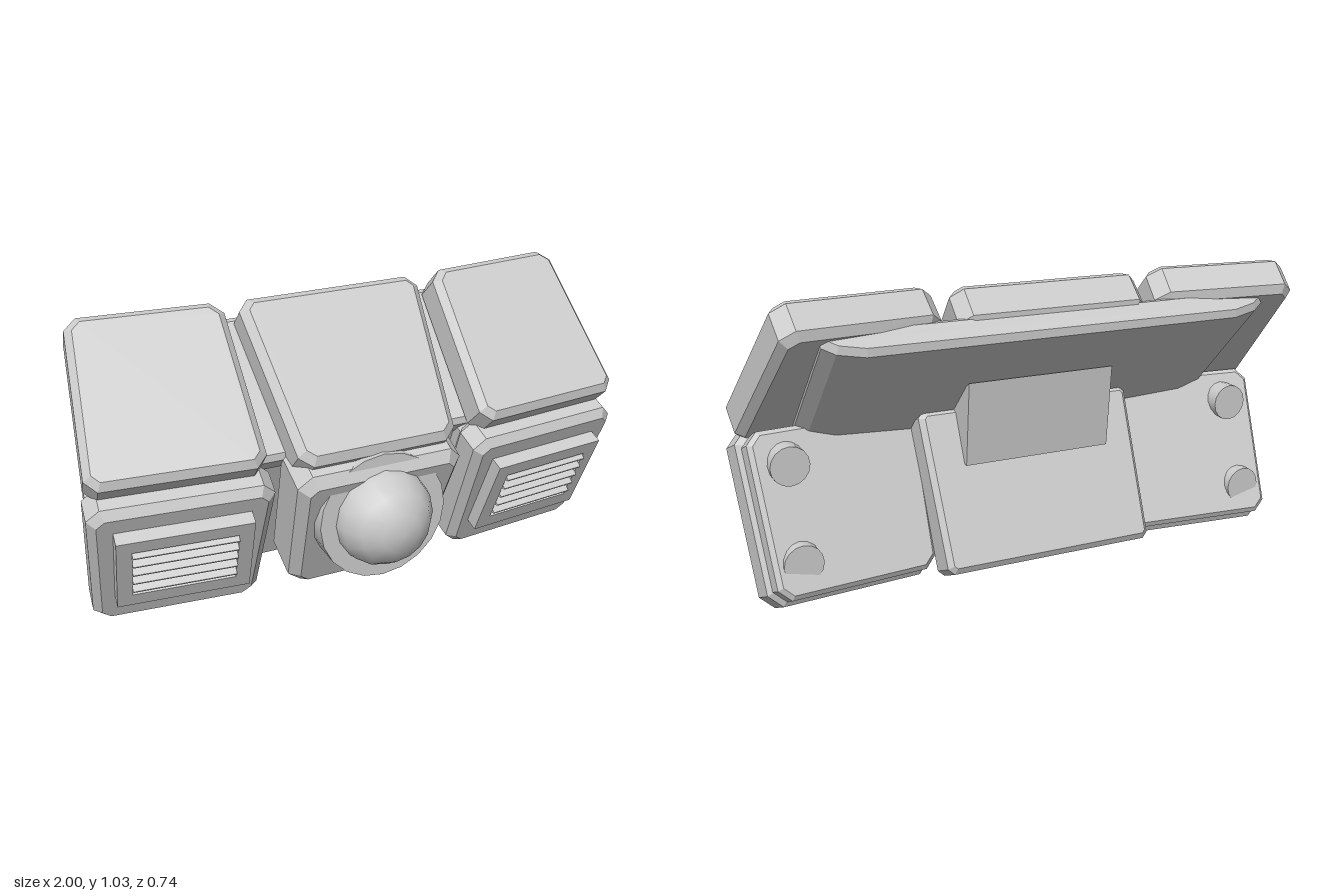
import * as THREE from 'three';

const grey = new THREE.MeshStandardMaterial({ color: 0xcccccc });
grey.name = 'light grey';

const LOWER_TILT = 0.405, UPPER_TILT = -Math.PI / 4, YAW = 0.1;

function add(parent, name, geometry, x = 0, y = 0, z = 0) {
  const mesh = new THREE.Mesh(geometry, grey);
  mesh.name = name;
  mesh.position.set(x, y, z);
  parent.add(mesh);
}

const polygon = (points) => new THREE.Shape(points.map(([x, y]) => new THREE.Vector2(x, y)));

// Polygon with every corner cut off at distance c
function cutShape(points, c) {
  const v = points.map(([x, y]) => new THREE.Vector2(x, y));
  const out = [];
  v.forEach((p, i) => {
    for (const q of [v.at(i - 1), v[(i + 1) % v.length]]) {
      out.push(p.clone().add(q.clone().sub(p).setLength(c)));
    }
  });
  return new THREE.Shape(out);
}

// Bevelled plate lying between depths z0 and z1
function plate(shape, z0, z1, b) {
  return new THREE.ExtrudeGeometry(shape, {
    depth: z1 - z0 - 2 * b, bevelThickness: b, bevelSize: b, bevelOffset: -b, bevelSegments: 1,
  }).translate(0, 0, z0 + b);
}

// Trapezoid outline; s = -1 mirrors it
function trapezoid(s, b0, b1, t0, t1, y0, y1, c) {
  return cutShape([[s * b0, y0], [s * b1, y0], [s * t1, y1], [s * t0, y1]], c);
}

// Tilted frame: local y runs up the panel, local z is its normal
function frame(parent, name, tilt, x = 0, y = 0, z = 0, yaw = 0) {
  const g = new THREE.Group();
  g.name = name;
  g.rotation.set(tilt, yaw, 0, 'YXZ');
  g.position.set(x, y, z);
  parent.add(g);
  return g;
}

function addGrille(parent, s) {
  const grille = new THREE.Group();
  grille.name = 'grille';
  grille.position.set(-0.01 * s, 0.027, 0);
  parent.add(grille);
  // Raised surround with a rectangular opening
  const outer = polygon([[-0.23, -0.172], [0.23, -0.172], [0.23, 0.172], [-0.23, 0.172]]);
  outer.holes.push(polygon([[-0.178, -0.115], [-0.178, 0.118], [0.178, 0.118], [0.178, -0.115]]));
  add(grille, 'grilleSurround', new THREE.ExtrudeGeometry(outer, { depth: 0.07, bevelEnabled: false }), 0, 0, 0.05);
  add(grille, 'grilleBack', new THREE.BoxGeometry(0.37, 0.24, 0.03), 0, 0, 0.07);
  // Louvre slats, sloping down to the front
  const wedge = polygon([[0, -0.022], [0.05, 0.007], [0.05, 0.012], [0, 0.024]]);
  const slat = new THREE.ExtrudeGeometry(wedge, { depth: 0.356, bevelEnabled: false })
    .translate(0, 0, -0.178).rotateY(-Math.PI / 2);
  for (let i = 0; i < 5; i++) add(grille, 'slat', slat, 0, -0.092 + i * 0.046, 0.083);
}

function addSide(model, s) {
  const side = s > 0 ? 'left' : 'right';
  // Lower module
  const low = frame(model, side + 'LowerModule', LOWER_TILT, 0.685 * s, 0.293, 0, YAW * s);
  add(low, 'lowerPanel', plate(trapezoid(s, -0.289, 0.291, -0.326, 0.302, -0.295, 0.29, 0.045), -0.075, 0.07, 0.028));
  add(low, 'lowerRearRim', plate(trapezoid(s, -0.28, 0.278, -0.31, 0.288, -0.28, 0.268, 0.04), -0.132, -0.05, 0.015));
  addGrille(low, s);

  // Round pegs, half sunk into the rear of the lower module
  for (const [y, z] of [[0.483, -0.115], [0.187, -0.22]]) {
    add(model, 'rearPeg', new THREE.CylinderGeometry(0.066, 0.066, 0.08, 16).rotateX(Math.PI / 2), 0.85 * s, y, z + 0.04);
  }

  // Upper panel
  const up = frame(model, side + 'UpperModule', UPPER_TILT, 0.685 * s, 0.793, -0.09, YAW * s);
  add(up, 'upperPanel', plate(trapezoid(s, -0.312, 0.288, -0.27, 0.262, -0.305, 0.3, 0.042), -0.075, 0.073, 0.025));
}

export function createModel() {
  const model = new THREE.Group();
  model.name = 'wallLamp';

  // Centre of the lower half
  const low = frame(model, 'centreLower', LOWER_TILT);
  add(low, 'centreLowerPanel', plate(trapezoid(1, -0.275, 0.275, -0.31, 0.31, 0.012, 0.59, 0.05), -0.21, 0.012, 0.035));
  add(low, 'centreRearBox', plate(trapezoid(1, -0.385, 0.385, -0.4, 0.4, -0.035, 0.515, 0.02), -0.322, -0.19, 0.018));

  // Centre of the upper half
  const up = frame(model, 'centreUpper', UPPER_TILT);
  add(up, 'centreUpperPanel', plate(trapezoid(1, -0.29, 0.29, -0.345, 0.345, 0.27, 0.907, 0.042), 0.42, 0.577, 0.028));

  // Long rear plate with swept ends, extruded up the panel
  const section = polygon([[-0.81, -0.46], [0.81, -0.46], [0.8, -0.405], [0.76, -0.377], [0.67, -0.357],
    [-0.67, -0.357], [-0.76, -0.377], [-0.8, -0.405]]);
  add(up, 'rearPlate', plate(section, 0.35, 0.895, 0.02).rotateX(-Math.PI / 2));

  // Wedge bracket joining both halves at the rear
  const wedge = polygon([[0.213, 0.71], [0.185, 0.42], [0.03, 0.45], [0.03, 0.6]]);
  add(model, 'rearBracket', new THREE.ExtrudeGeometry(wedge, { depth: 0.54, bevelEnabled: false })
    .rotateY(Math.PI / 2).translate(-0.27, 0, 0));

  // Round lamp head: collar and dome
  add(model, 'lampCollar', new THREE.CylinderGeometry(0.237, 0.237, 0.21, 20).rotateX(Math.PI / 2), 0, 0.348, 0.11);
  add(model, 'lampDome', new THREE.SphereGeometry(0.185, 16, 8).rotateX(Math.PI / 2), 0, 0.348, 0.186);

  for (const s of [1, -1]) addSide(model, s);
  return model;
}
